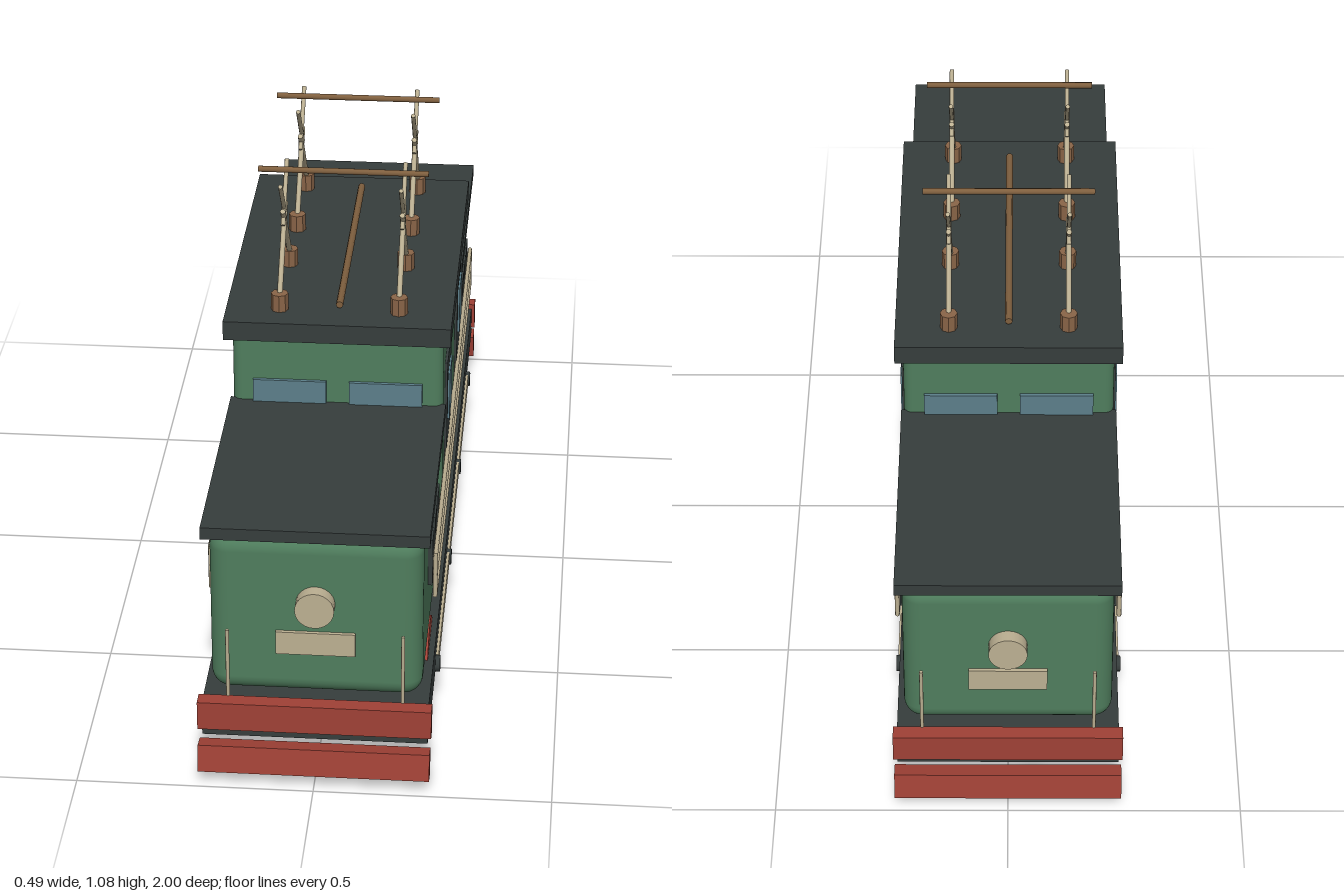
import * as THREE from 'three';
import { RoundedBoxGeometry } from 'three/addons/geometries/RoundedBoxGeometry.js';

const mat = (color, flatShading = false) => new THREE.MeshStandardMaterial({ color, flatShading });
const green = mat(0x4f7d5d), dark = mat(0x363d3c), red = mat(0xa04136), cream = mat(0xbcb092);
const copper = mat(0x80603f), wood = mat(0x8a6548, true), glass = mat(0x5c7f8a);

function add(parent, name, geometry, material, x = 0, y = 0, z = 0) {
  const mesh = new THREE.Mesh(geometry, material);
  mesh.name = name;
  mesh.position.set(x, y, z);
  parent.add(mesh);
  return mesh;
}

// box given by its min and max on each axis
function box(parent, name, material, [x0, x1], [y0, y1], [z0, z1], radius = 0) {
  const size = [x1 - x0, y1 - y0, z1 - z0];
  const geometry = radius ? new RoundedBoxGeometry(...size, 4, radius) : new THREE.BoxGeometry(...size);
  return add(parent, name, geometry, material, (x0 + x1) / 2, (y0 + y1) / 2, (z0 + z1) / 2);
}

// round bar between two points
function rod(parent, name, material, a, b, radius) {
  const p = new THREE.Vector3(...a), q = new THREE.Vector3(...b);
  const dir = q.clone().sub(p);
  const mesh = add(parent, name, new THREE.CylinderGeometry(radius, radius, dir.length(), 8), material);
  mesh.position.copy(p).add(q).multiplyScalar(0.5);
  mesh.quaternion.setFromUnitVectors(new THREE.Vector3(0, 1, 0), dir.normalize());
  return mesh;
}

// hood, headlight, buffer beam and rail guard of one end
function createEnd() {
  const end = new THREE.Group();
  box(end, 'hood', green, [-0.222, 0.222], [0.192, 0.572], [0.355, 0.922], 0.04);
  box(end, 'hoodRoof', dark, [-0.236, 0.236], [0.565, 0.592], [0.355, 0.93]);
  add(end, 'headlight', new THREE.CylinderGeometry(0.041, 0.041, 0.04, 24), cream, 0, 0.417, 0.932).rotation.x = Math.PI / 2;
  box(end, 'numberPlate', cream, [-0.083, 0.083], [0.297, 0.35], [0.91, 0.93]);
  box(end, 'bufferBeam', red, [-0.245, 0.245], [0.13, 0.195], [0.938, 0.972]);
  const guard = box(end, 'railGuard', red, [-0.243, 0.243], [0.038, 0.098], [0.955, 0.995]);
  guard.rotation.x = -0.17;
  for (const s of [-1, 1]) {
    rod(end, 'endHandrail', cream, [s * 0.183, 0.19, 0.937], [s * 0.183, 0.355, 0.937], 0.004);
    box(end, 'cabWindow', glass, [s * 0.105 - 0.08, s * 0.105 + 0.08], [0.53, 0.645], [0.36, 0.373]);
  }
  return end;
}

// doors, vents, rails, wheels and coupling rod of one side
function createSide() {
  const side = new THREE.Group();
  for (const s of [-1, 1]) {
    const span = (a, b) => [Math.min(s * a, s * b), Math.max(s * a, s * b)];
    box(side, 'door', dark, [0.22, 0.236], [0.268, 0.66], span(0.135, 0.29));
    box(side, 'doorWindow', glass, [0.225, 0.24], [0.505, 0.617], span(0.167, 0.259));
    for (const z of [0.527, 0.62, 0.716])
      box(side, 'vent', dark, [0.215, 0.232], [0.365, 0.475], span(z - 0.027, z + 0.027));
    rod(side, 'railEnd', cream, [0.238, 0.345, s * 0.747], [0.238, 0.443, s * 0.747], 0.005);
    for (const z of [0.212, 0.665]) {
      add(side, 'wheel', new THREE.CylinderGeometry(0.11, 0.11, 0.036, 28), red, 0.206, 0.115, s * z).rotation.z = Math.PI / 2;
      add(side, 'crankPin', new THREE.CylinderGeometry(0.018, 0.018, 0.03, 12), dark, 0.232, 0.122, s * z).rotation.z = Math.PI / 2;
    }
  }
  for (const y of [0.345, 0.396, 0.443])
    rod(side, 'sideRail', cream, [0.238, y, -0.75], [0.238, y, 0.75], 0.005);
  box(side, 'couplingRod', cream, [0.225, 0.243], [0.107, 0.138], [-0.655, 0.655]);
  return side;
}

// two crossed arm linkages carrying a contact bar
function createPantograph() {
  const panto = new THREE.Group();
  panto.name = 'pantograph';
  for (const x of [-0.13, 0.13]) for (const s of [-1, 1]) {
    add(panto, 'insulator', new THREE.CylinderGeometry(0.019, 0.019, 0.042, 8), wood, x, 0.81, s * 0.113);
    rod(panto, 'lowerArm', cream, [x, 0.82, s * 0.115], [x, 0.985, -s * 0.027], 0.006);
    rod(panto, 'upperArm', cream, [x, 0.952, -s * 0.027], [x, 1.065, s * 0.074], 0.005);
  }
  rod(panto, 'contactBar', copper, [-0.185, 1.073, 0], [0.185, 1.073, 0], 0.007);
  return panto;
}

export function createModel() {
  const model = new THREE.Group();
  model.name = 'locomotive';

  // frame, cab and roof
  box(model, 'frame', dark, [-0.237, 0.237], [0.107, 0.183], [-0.955, 0.955]);
  box(model, 'cab', green, [-0.23, 0.23], [0.2, 0.765], [-0.365, 0.365], 0.02);
  box(model, 'cabRoof', dark, [-0.247, 0.247], [0.748, 0.792], [-0.39, 0.39]);
  rod(model, 'roofConductor', copper, [0, 0.804, -0.313], [0, 0.804, 0.313], 0.008);

  // both ends and both sides, turned half round
  for (const turn of [0, Math.PI]) {
    const end = createEnd(), side = createSide();
    end.name = turn ? 'backEnd' : 'frontEnd';
    side.name = turn ? 'rightSide' : 'leftSide';
    end.rotation.y = side.rotation.y = turn;
    model.add(end, side);
  }

  for (const z of [-0.205, 0.205]) {
    const panto = createPantograph();
    panto.position.z = z;
    model.add(panto);
  }
  return model;
}
